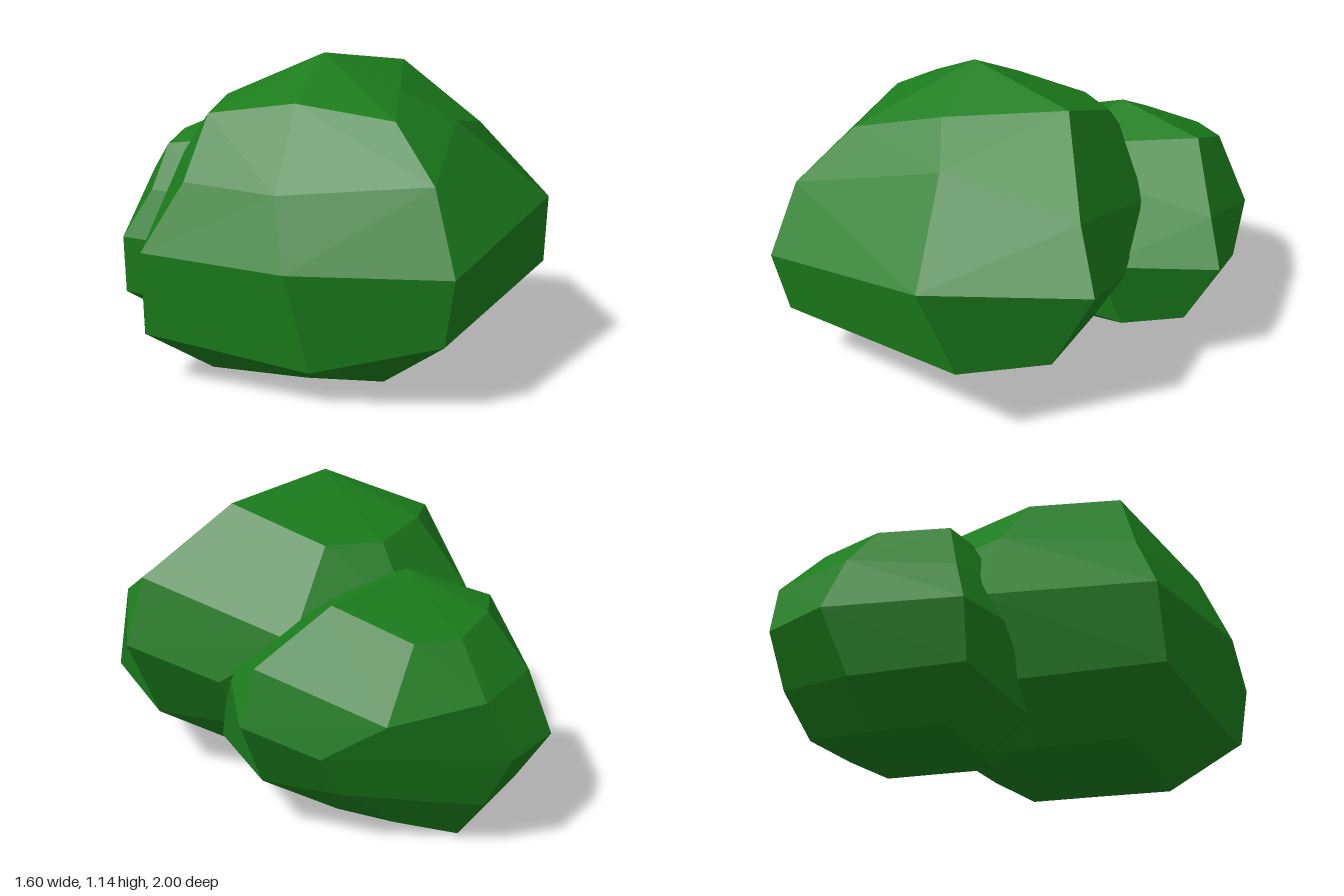
import * as THREE from 'three';

// Cross-sections from the ground up; each holds eight [x, y, z] corners:
// front, front left, left, back left, back, back right, right, front right.
const rings = [
  [[0, .01, .42], [.19, .015, .2], [.35, .015, 0], [.18, .015, -.23], [-.02, .02, -.46], [-.24, .02, -.24], [-.47, .015, 0], [-.22, .01, .25]],
  [[0, .25, .77], [.77, .335, .37], [.73, .25, 0], [.48, .26, -.31], [-.05, .22, -.6], [-.37, .2, -.4], [-.73, .19, 0], [-.34, .13, .48]],
  [[0, .49, .82], [.69, .62, .47], [.87, .575, -.09], [.61, .47, -.34], [-.12, .46, -.7], [-.44, .46, -.55], [-.73, .48, -.02], [-.43, .48, .47]],
  [[0, .77, .7], [.4, .9, .28], [.79, .82, -.07], [.4, .65, -.53], [0, .73, -.66], [-.38, .74, -.44], [-.57, .72, 0], [-.4, .72, .36]],
  [[0, .95, .47], [.2, 1.02, .2], [.47, 1.085, -.17], [.23, .96, -.45], [0, .95, -.46], [-.26, .98, -.28], [-.47, .955, 0], [-.25, 1, .23]],
].map((ring) => ring.map((p) => new THREE.Vector3(...p)));
const bottom = new THREE.Vector3(0, .005, 0);
const top = new THREE.Vector3(0, 1.145, 0);

// Joins the rings into a faceted clump closed at both ends
function clumpGeometry() {
  const positions = [];
  const normals = [];
  const cross = (o, p, q, r) => p.clone().sub(o).cross(r.clone().sub(q));
  const face = (normal, ...corners) => corners.forEach((c) => {
    positions.push(c.x, c.y, c.z);
    normals.push(normal.x, normal.y, normal.z);
  });
  const triangle = (a, b, c) => face(cross(a, b, a, c).normalize(), a, b, c);

  // Four-cornered facet with one normal, split along the diagonal that bulges outward
  const quad = (a, b, c, d) => {
    const normal = cross(a, c, b, d).normalize();
    const convex = d.clone().sub(a).dot(cross(a, b, a, c)) <= 0;
    if (convex) face(normal, a, b, c, a, c, d);
    else face(normal, a, b, d, b, c, d);
  };

  for (let j = 0; j < 8; j++) {
    const k = (j + 1) % 8;
    triangle(bottom, rings[0][k], rings[0][j]);
    for (let i = 0; i < rings.length - 1; i++) {
      quad(rings[i][j], rings[i][k], rings[i + 1][k], rings[i + 1][j]);
    }
    triangle(rings[4][j], rings[4][k], top);
  }
  const geometry = new THREE.BufferGeometry();
  geometry.setAttribute('position', new THREE.Float32BufferAttribute(positions, 3));
  geometry.setAttribute('normal', new THREE.Float32BufferAttribute(normals, 3));
  return geometry;
}

export function createModel() {
  const group = new THREE.Group();
  group.name = 'bush';
  const leaves = new THREE.MeshStandardMaterial({ color: 0x1b7c1c });
  const geometry = clumpGeometry();

  // The same clump twice: full size in front, smaller behind
  const addClump = (name, scale, z) => {
    const clump = new THREE.Mesh(geometry, leaves);
    clump.name = name;
    clump.scale.setScalar(scale);
    clump.position.set(-.07, 0, z);
    group.add(clump);
  };
  addClump('largeClump', 1, .18);
  addClump('smallClump', .78, -.45);
  return group;
}
